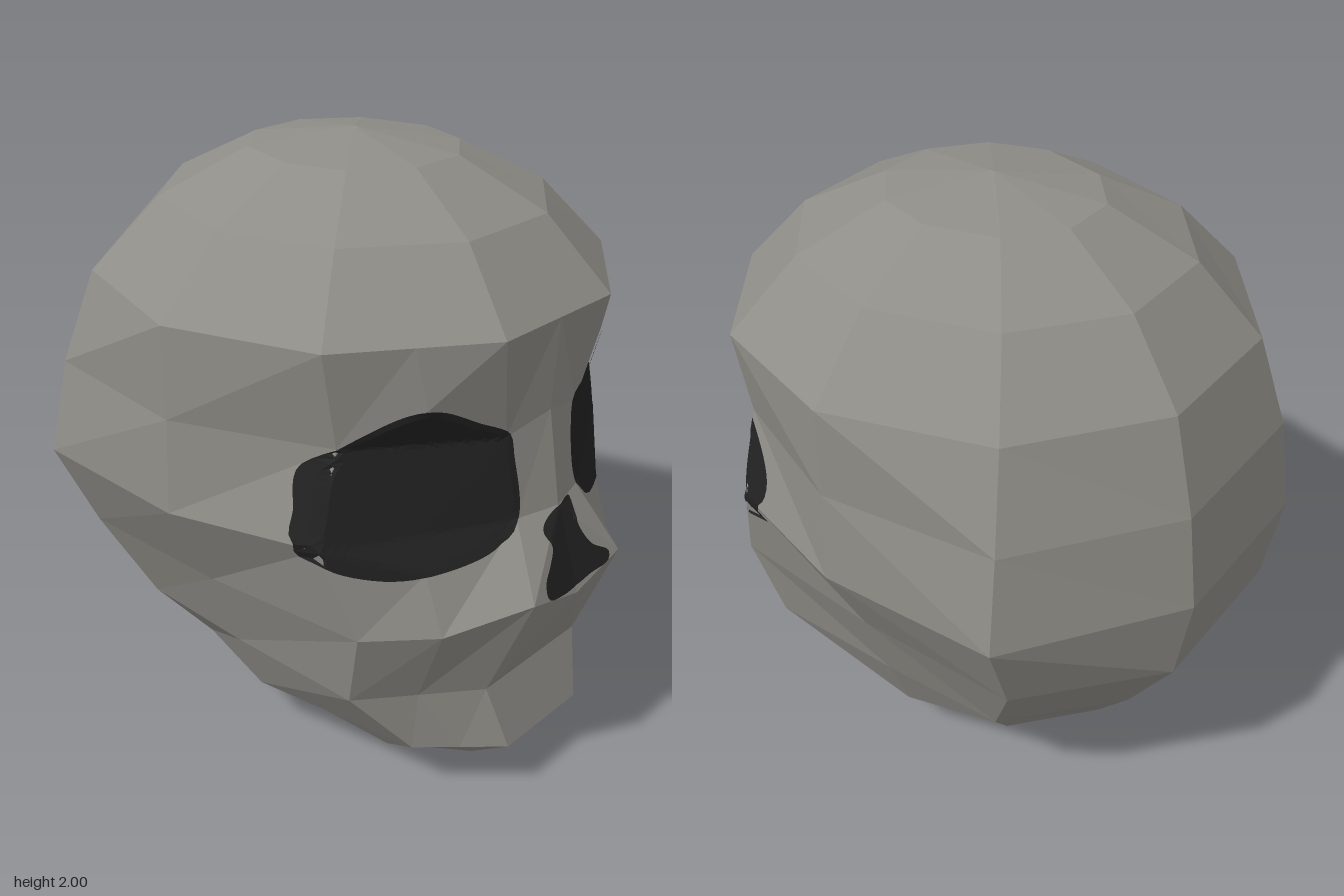
import * as THREE from 'three';

const bone = new THREE.MeshStandardMaterial({ color: 0x8f8d87 });
bone.name = 'bone grey';
const dark = new THREE.MeshStandardMaterial({ color: 0x222222 });
dark.name = 'socket black';

const V = (x, y, z) => new THREE.Vector3(x, y, z);

// Half a cross-section from the front centre round the left to the back:
// centre, front, mid-cheek, cheek, side, rear side, back. Overrides are [x, y, z].
function section(y, rx, rz, over = {}) {
  const at = (deg) => {
    const a = THREE.MathUtils.degToRad(deg);
    return V(Math.sin(a) * rx, y, Math.cos(a) * rz);
  };
  const p = { front: at(18), cheek: at(54), side: V(rx, y, 0.02), rear: at(126), back: at(162) };
  for (const k in over) p[k] = V(...over[k]);
  p.centre ??= V(0, p.front.y, p.front.z);
  p.mid ??= p.front.clone().lerp(p.cheek, 0.5);
  return [p.centre, p.front, p.mid, p.cheek, p.side, p.rear, p.back];
}

// Full ring: the left half followed by its mirror image
const ring = (half) => [...half, ...half.slice(1).reverse().map((p) => V(-p.x, p.y, p.z))];

function makeSkull() {
  const brow = {
    centre: [0, 1.3, 0.78], front: [0.17, 1.26, 0.75], cheek: [0.6, 1.29, 0.49],
    side: [0.81, 1.3, 0.02], rear: [0.75, 1.3, -0.545],
  };
  const under = {
    centre: [0, 1.0, 0.83], front: [0.15, 1.0, 0.79], cheek: [0.68, 1.0, 0.49],
    side: [0.825, 1.0, 0.02], rear: [0.81, 1.0, -0.57],
  };
  const rings = [
    section(2.0, 0, 0),
    section(1.95, 0.315, 0.35),
    section(1.81, 0.59, 0.63),
    section(1.59, 0.81, 0.835),
    // eye socket: brow peak, upper edge, lower edge, cheek dip
    section(1.3, 0.93, 0.93, { ...brow, mid: [0.42, 1.4, 0.665] }),
    section(1.3, 0.93, 0.93, brow),
    section(1.0, 0.97, 0.977, under),
    section(1.0, 0.97, 0.977, { ...under, mid: [0.43, 0.89, 0.68] }),
    // nose tip and cheekbones
    section(0.7, 0.93, 0.925, {
      centre: [0, 0.73, 0.92], front: [0.22, 0.785, 0.92], mid: [0.43, 0.7, 0.75],
      cheek: [0.61, 0.7, 0.58], side: [0.67, 0.7, 0.02], rear: [0.68, 0.7, -0.54],
    }),
    // jaw and chin
    section(0.42, 0.74, 0.74, {
      front: [0.23, 0.42, 0.77], cheek: [0.56, 0.42, 0.5],
      side: [0.57, 0.42, 0.02], rear: [0.56, 0.42, -0.41],
    }),
    section(0.2, 0.48, 0.57, { front: [0.18, 0.2, 0.83], cheek: [0.39, 0.2, 0.61] }),
    section(0.05, 0.31, 0.285, { front: [0.13, 0.05, 0.65], cheek: [0.29, 0.05, 0.42] }),
    section(0, 0, 0),
  ].map(ring);

  const pos = [];
  const tri = (a, b, c) => {
    const area = b.clone().sub(a).cross(c.clone().sub(a)).length();
    if (area > 1e-5) pos.push(...a, ...b, ...c);
  };
  for (let r = 0; r < rings.length - 1; r++) {
    const n = rings[r].length;
    for (let i = 0; i < n; i++) {
      const j = (i + 1) % n;
      const [a, b, c, d] = [rings[r][i], rings[r][j], rings[r + 1][i], rings[r + 1][j]];
      // diagonals are mirrored so both halves match
      if (i < 7) { tri(a, c, d); tri(a, d, b); } else { tri(a, c, b); tri(b, c, d); }
    }
  }
  const geo = new THREE.BufferGeometry();
  geo.setAttribute('position', new THREE.Float32BufferAttribute(pos, 3));
  geo.computeVertexNormals(); // unshared corners give flat facets
  const mesh = new THREE.Mesh(geo, bone);
  mesh.name = 'skull';
  return mesh;
}

// Thin dark patch that hugs the front of the skull inside a closed outline
function makePatch(name, skull, outline, cx, cy) {
  const curve = new THREE.CatmullRomCurve3(outline.map(([x, y]) => V(x, y, 0)), true);
  let edge = curve.getSpacedPoints(72).slice(0, -1);
  if (THREE.ShapeUtils.isClockWise(edge)) edge = edge.reverse();
  const n = edge.length, steps = 14;
  const ray = new THREE.Raycaster();
  const pos = [], index = [];
  for (let s = 0; s <= steps; s++) {
    for (const e of edge) {
      const x = THREE.MathUtils.lerp(cx, e.x, s / steps);
      const y = THREE.MathUtils.lerp(cy, e.y, s / steps);
      ray.set(V(x, y, 3), V(0, 0, -1));
      const hit = ray.intersectObject(skull)[0];
      const p = hit ? hit.point.addScaledVector(hit.face.normal, 0.006) : V(x, y, 0.5);
      pos.push(...p);
    }
  }
  for (let s = 0; s < steps; s++) {
    for (let i = 0; i < n; i++) {
      const a = s * n + i, b = s * n + ((i + 1) % n);
      if (s > 0) index.push(a, b + n, b);
      index.push(a, a + n, b + n);
    }
  }
  const indexed = new THREE.BufferGeometry();
  indexed.setAttribute('position', new THREE.Float32BufferAttribute(pos, 3));
  indexed.setIndex(index);
  const geo = indexed.toNonIndexed();
  geo.computeVertexNormals();
  const mesh = new THREE.Mesh(geo, dark);
  mesh.name = name;
  return mesh;
}

export function createModel() {
  const group = new THREE.Group();
  group.name = 'skullHead';
  const skull = makeSkull();
  skull.updateMatrixWorld(true);
  group.add(skull);

  const leftEye = [
    [0.12, 1.2], [0.16, 1.31], [0.27, 1.38], [0.42, 1.41], [0.55, 1.34], [0.63, 1.23],
    [0.69, 1.1], [0.7, 1.0], [0.66, 0.92], [0.52, 0.88], [0.4, 0.88], [0.24, 0.92], [0.13, 1.02],
  ];
  const rightEye = [
    [-0.15, 1.2], [-0.16, 1.27], [-0.26, 1.33], [-0.42, 1.4], [-0.55, 1.33], [-0.64, 1.24],
    [-0.68, 1.1], [-0.7, 1.0], [-0.66, 0.94], [-0.55, 0.89], [-0.45, 0.88], [-0.24, 0.92], [-0.15, 1.0],
  ];
  const nose = [
    [-0.03, 0.99], [0.07, 1.0], [0.06, 0.93], [0.1, 0.85], [0.17, 0.8], [0.16, 0.775], [0.07, 0.765],
    [0, 0.755], [-0.08, 0.757], [-0.15, 0.775], [-0.15, 0.82], [-0.11, 0.86], [-0.08, 0.9], [-0.09, 0.95],
  ];
  group.add(makePatch('leftEyeSocket', skull, leftEye, 0.41, 1.14));
  group.add(makePatch('rightEyeSocket', skull, rightEye, -0.42, 1.13));
  group.add(makePatch('noseHole', skull, nose, -0.01, 0.86));
  return group;
}
